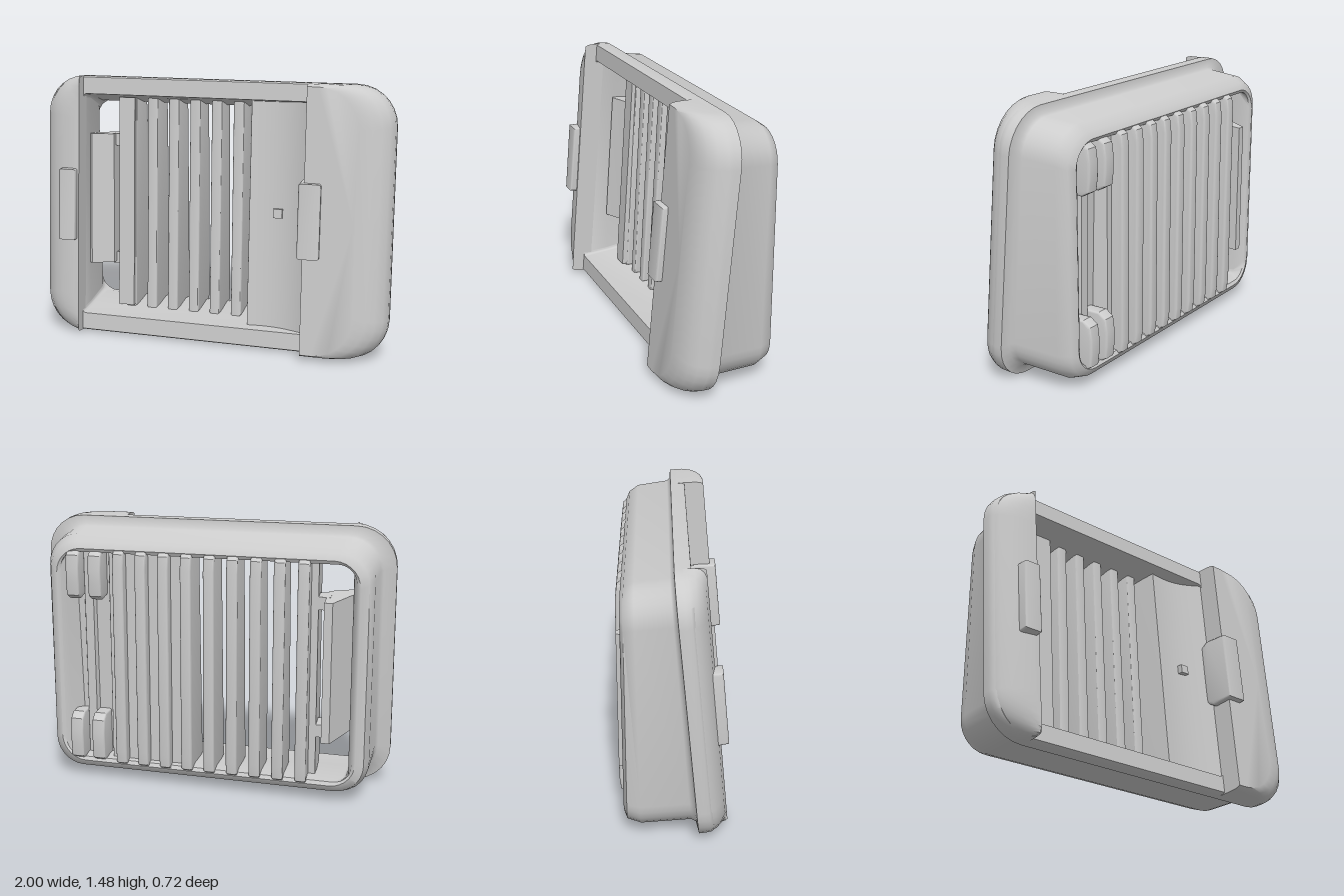
import * as THREE from 'three';
import { toCreasedNormals } from 'three/addons/utils/BufferGeometryUtils.js';

const grey = new THREE.MeshStandardMaterial({ color: 0xcccccc });
grey.name = 'light grey plastic';
const MID = 0.734;

// Skews every part: yawed overall, with the front face leaning back
function skew(geo) {
  const p = geo.attributes.position;
  for (let i = 0; i < p.count; i++) {
    const x = p.getX(i), y = p.getY(i), z = p.getZ(i);
    const lean = THREE.MathUtils.clamp((z + 0.25) / 0.3, 0, 1);
    p.setXYZ(i, x, y + MID + 0.08 * z, z + 0.083 * x - 0.09 * y * lean);
  }
  return geo;
}

function part(name, geo, crease = 0.6) {
  const mesh = new THREE.Mesh(toCreasedNormals(skew(geo), crease), grey);
  mesh.name = name;
  return mesh;
}

// Rounded rectangle loop, counter-clockwise seen from +z
function loop([x0, x1, h, r, z], clampX) {
  const pts = [], N = 7;
  const corners = [[x1 - r, h - r], [x0 + r, h - r], [x0 + r, r - h], [x1 - r, r - h]];
  corners.forEach(([cx, cy], k) => {
    for (let i = 0; i <= N; i++) {
      const a = (k + i / N) * Math.PI / 2;
      pts.push([clampX(cx + r * Math.cos(a)), cy + r * Math.sin(a), z]);
    }
  });
  return pts;
}

// Skin through sections [x0, x1, halfHeight, radius, z]
function loft(sections, closed, clampX = x => x) {
  const loops = sections.map(s => loop(s, clampX));
  const n = loops[0].length, index = [];
  const rows = closed ? loops.length : loops.length - 1;
  for (let j = 0; j < rows; j++) {
    for (let i = 0; i < n; i++) {
      const a = j * n + i, b = j * n + (i + 1) % n;
      const up = ((j + 1) % loops.length) * n;
      const c = up + (i + 1) % n, d = up + i;
      index.push(a, b, c, a, c, d);
    }
  }
  const geo = new THREE.BufferGeometry();
  geo.setAttribute('position', new THREE.Float32BufferAttribute(loops.flat(2), 3));
  geo.setIndex(index);
  return geo;
}

function box(x0, x1, y0, y1, z0, z1) {
  return new THREE.BoxGeometry(x1 - x0, y1 - y0, z1 - z0)
    .translate((x0 + x1) / 2, (y0 + y1) / 2 - MID, (z0 + z1) / 2);
}

// Upright prism from a shape drawn with u = x and v = -z
function prism(shape, y0, y1) {
  return new THREE.ExtrudeGeometry(shape, { depth: y1 - y0, bevelEnabled: false, curveSegments: 10 })
    .rotateX(-Math.PI / 2).translate(0, y0, 0);
}

// Vertical rib with softened edges and tapering rear ends, y measured from the middle
function rib(x, y0, y1, front, back, width = 0.062) {
  const b = 0.012;
  const s = new THREE.Shape([
    [-front - b, y0 + 0.02], [-back - 0.055, y0 + b], [-back - 0.02, y0 + 0.035], [-back - b, y0 + 0.1],
    [-back - b, y1 - 0.1], [-back - 0.02, y1 - 0.035], [-back - 0.055, y1 - b], [-front - b, y1 - 0.02],
  ].map(([u, v]) => new THREE.Vector2(u, v)));
  return new THREE.ExtrudeGeometry(s, {
    depth: width - 2 * b, bevelThickness: b, bevelSize: b, bevelSegments: 3,
  }).translate(0, 0, -width / 2 + b).rotateY(Math.PI / 2).translate(x, 0, 0);
}

export function createModel() {
  const group = new THREE.Group();
  group.name = 'ventGrille';

  // Housing, flange and opening as one closed skin
  group.add(part('housing', loft([
    [-0.83, 0.86, 0.615, 0.14, -0.28],
    [-0.875, 0.9, 0.65, 0.16, -0.262],
    [-0.9, 0.925, 0.68, 0.18, -0.2],
    [-0.915, 0.935, 0.682, 0.18, 0.02],
    [-0.93, 0.95, 0.692, 0.185, 0.04],
    [-1, 1, 0.737, 0.22, 0.05],
    [-1, 1, 0.737, 0.22, 0.09],
    [-0.995, 0.995, 0.735, 0.215, 0.115],
    [-0.98, 0.98, 0.728, 0.2, 0.13],
    [-0.78, 0.53, 0.635, 0.02, 0.13],
    [-0.785, 0.55, 0.62, 0.02, -0.02],
    [-0.79, 0.82, 0.59, 0.03, -0.22],
    [-0.81, 0.84, 0.595, 0.1, -0.27],
  ], true), 0.9));

  // Domed end caps on the front
  const dome = [[0, 0, 0.08], [0.005, 0, 0.12], [0.03, 0.002, 0.165], [0.07, 0.005, 0.2],
    [0.12, 0.01, 0.225], [0.19, 0.018, 0.24]];
  const capSections = scale => {
    const list = dome.map(([dx, dy, z]) =>
      [-1 + dx, 1 - dx, 0.737 - dy, 0.22, 0.08 + (z - 0.08) * scale]);
    list.push([-0.8, 0.8, 0, 0, list[list.length - 1][4]]);
    return list;
  };
  group.add(part('leftCap', loft(capSections(1), false, x => Math.max(x, 0.53)), 0.7));
  group.add(part('rightCap', loft(capSections(0.78), false, x => Math.min(x, -0.78)), 0.7));

  // Clip tabs beside the opening
  group.add(part('leftTab', rib(0.563, -0.2, 0.22, 0.25, 0.09, 0.12)));
  group.add(part('rightTab', rib(-0.84, -0.2, 0.22, 0.22, 0.06, 0.1)));

  // Long ribs across the back
  const pitch = 0.1285;
  for (let i = 0; i < 9; i++) {
    group.add(part('rib', rib(-0.535 + i * pitch, -0.625, 0.625, -0.07, -0.31)));
  }
  // Short ribs above and below the gap on the left
  for (const x of [0.63, 0.76]) {
    group.add(part('upperShortRib', rib(x, 0.33, 0.61, -0.16, -0.31, 0.075)));
    group.add(part('lowerShortRib', rib(x, -0.61, -0.33, -0.16, -0.31, 0.075)));
  }

  // Deflector closing the left side of the duct, nearly flush with the front
  const d = new THREE.Shape();
  d.moveTo(0.15, 0.24);
  d.lineTo(0.56, 0.24);
  d.lineTo(0.58, 0.17);
  d.lineTo(0.66, 0.17);
  d.lineTo(0.67, 0.2);
  d.lineTo(0.72, 0.2);
  d.lineTo(0.73, 0.17);
  d.lineTo(0.84, 0.17);
  d.lineTo(0.84, -0.05);
  d.lineTo(0.535, -0.125);
  d.bezierCurveTo(0.44, -0.06, 0.34, -0.04, 0.2, -0.06);
  d.closePath();
  group.add(part('deflector', prism(d, -0.63, 0.63)));
  group.add(part('deflectorPeg', box(0.34, 0.39, 0.725, 0.775, 0.02, 0.085)));

  // Wedge-shaped inner vane and its bridges on the right side of the duct
  const vane = new THREE.Shape([[-0.69, 0.305], [-0.645, 0.305], [-0.65, 0.06], [-0.77, 0], [-0.82, 0.03]]
    .map(([u, v]) => new THREE.Vector2(u, v)));
  group.add(part('innerVane', prism(vane, -0.365, 0.4)));
  for (const y of [0.355, 1.065]) {
    group.add(part('vaneBridge', box(-0.67, -0.51, y, y + 0.07, -0.2, -0.1)));
  }
  group.add(part('edgeStrip', box(-0.605, -0.51, 0.13, 1.35, -0.2, -0.02)));

  return group;
}
